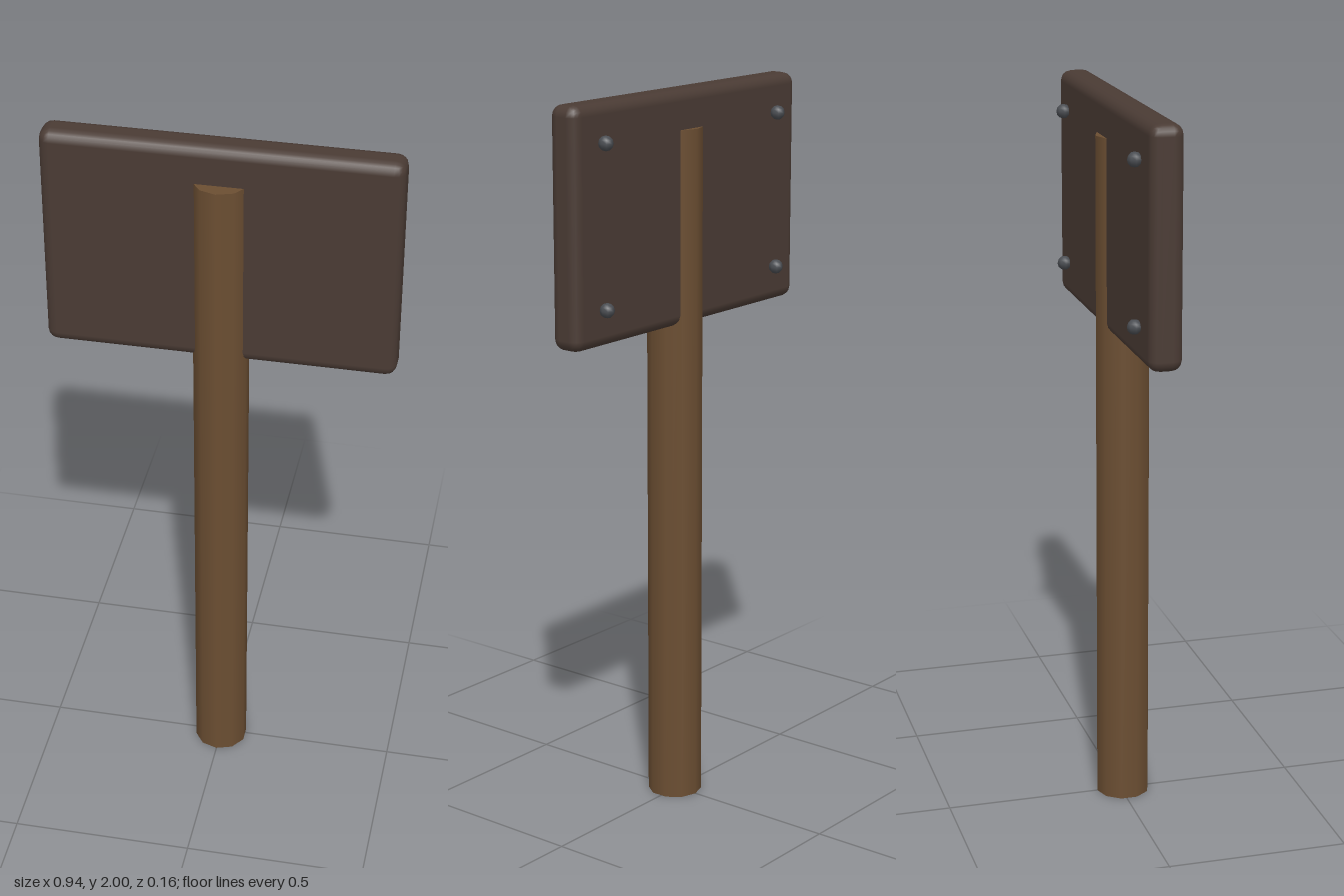
import * as THREE from 'three';
import { RoundedBoxGeometry } from 'three/addons/geometries/RoundedBoxGeometry.js';

const material = (color) => new THREE.MeshStandardMaterial({ color });

export function createModel() {
  const model = new THREE.Group();
  model.name = 'signpost';

  const add = (name, geometry, mat, x, y, z) => {
    const mesh = new THREE.Mesh(geometry, mat);
    mesh.name = name;
    mesh.position.set(x, y, z);
    model.add(mesh);
  };

  // Ten-sided wooden post, running through the board
  const postHeight = 1.895;
  add('post', new THREE.CylinderGeometry(0.075, 0.075, postHeight, 10),
    material(0x6b4e32), 0, postHeight / 2, 0.007);

  // Blank board with softened edges
  add('board', new RoundedBoxGeometry(0.94, 0.632, 0.09, 2, 0.03),
    material(0x4a3b34), 0, 1.684, -0.005);

  // Four bolt heads on the back of the board
  const boltGeometry = new THREE.SphereGeometry(0.02, 8, 6);
  const boltMaterial = material(0x4a4d52);
  for (const x of [-0.365, 0.365]) {
    for (const y of [1.469, 1.899]) {
      add('bolt', boltGeometry, boltMaterial, x, y, -0.063);
    }
  }

  return model;
}
